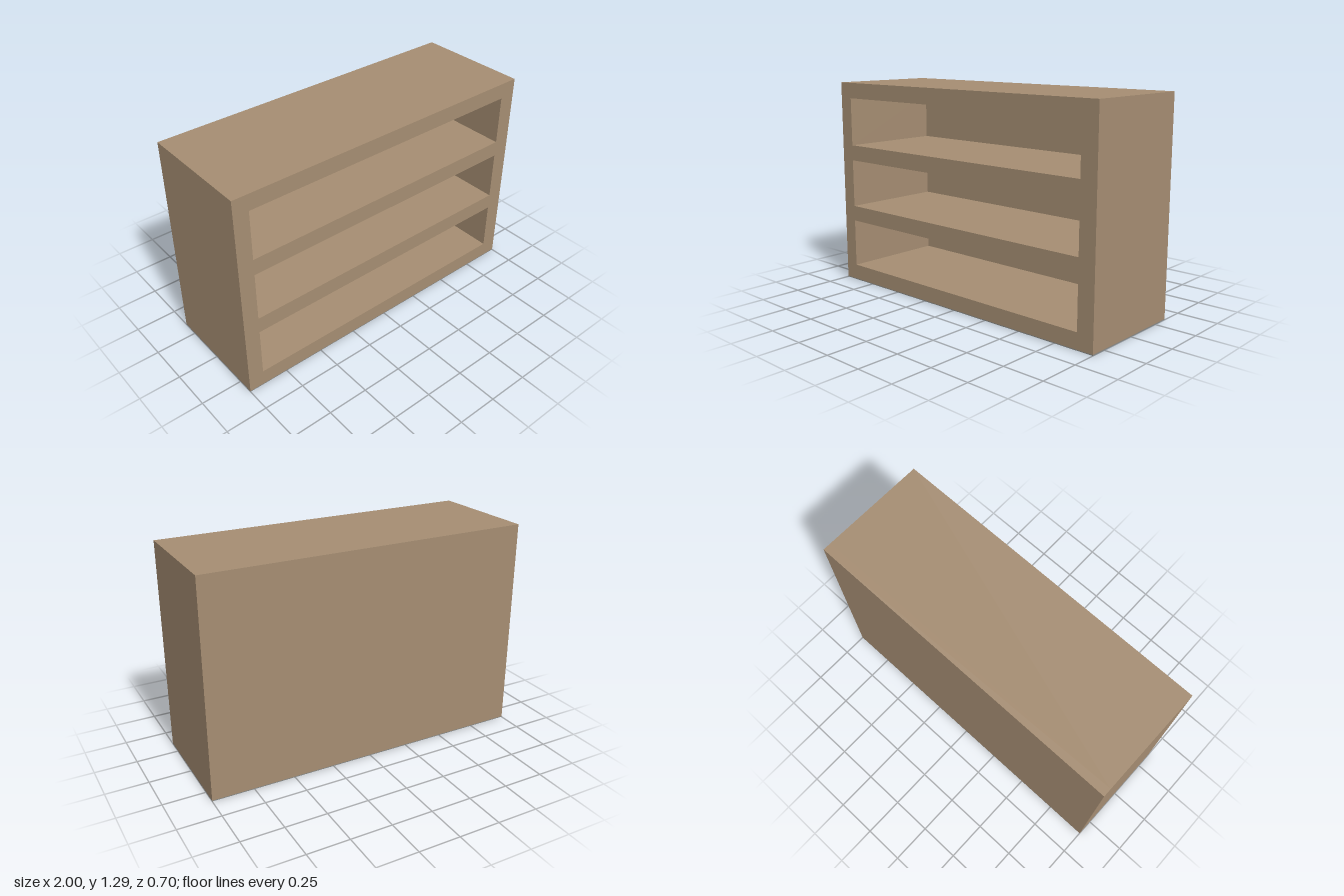
import * as THREE from 'three';

const W = 2, H = 1.295, D = 0.7, BACK = 0.05, BASE = 0.005;

export function createModel() {
  const model = new THREE.Group();
  model.name = 'shelfUnit';
  const wood = new THREE.MeshStandardMaterial({ color: 0xa58d72 });
  wood.name = 'wood';
  const grey = new THREE.MeshStandardMaterial({ color: 0x868886 });
  grey.name = 'grey underside';

  const add = (name, geometry, material, x, y, z) => {
    const mesh = new THREE.Mesh(geometry, material);
    mesh.name = name;
    mesh.position.set(x, y, z);
    model.add(mesh);
  };

  const rect = (path, x0, y0, x1, y1) => {
    path.moveTo(x0, y0);
    path.lineTo(x1, y0);
    path.lineTo(x1, y1);
    path.lineTo(x0, y1);
    path.closePath();
    return path;
  };

  // Carcass with three open compartments
  const outline = rect(new THREE.Shape(), -W / 2, BASE, W / 2, H);
  for (const y of [0.1, 0.498, 0.897]) {
    outline.holes.push(rect(new THREE.Path(), -0.908, y, 0.898, y + 0.301));
  }
  const carcass = new THREE.ExtrudeGeometry(outline, { depth: D - BACK, bevelEnabled: false });
  add('carcass', carcass, wood, 0, 0, -D / 2 + BACK);

  // Closed back
  add('backPanel', new THREE.BoxGeometry(W, H - BASE, BACK), wood, 0, (H + BASE) / 2, -D / 2 + BACK / 2);

  // Thin grey underside
  add('underside', new THREE.BoxGeometry(W, BASE, D), grey, 0, BASE / 2, 0);

  return model;
}
